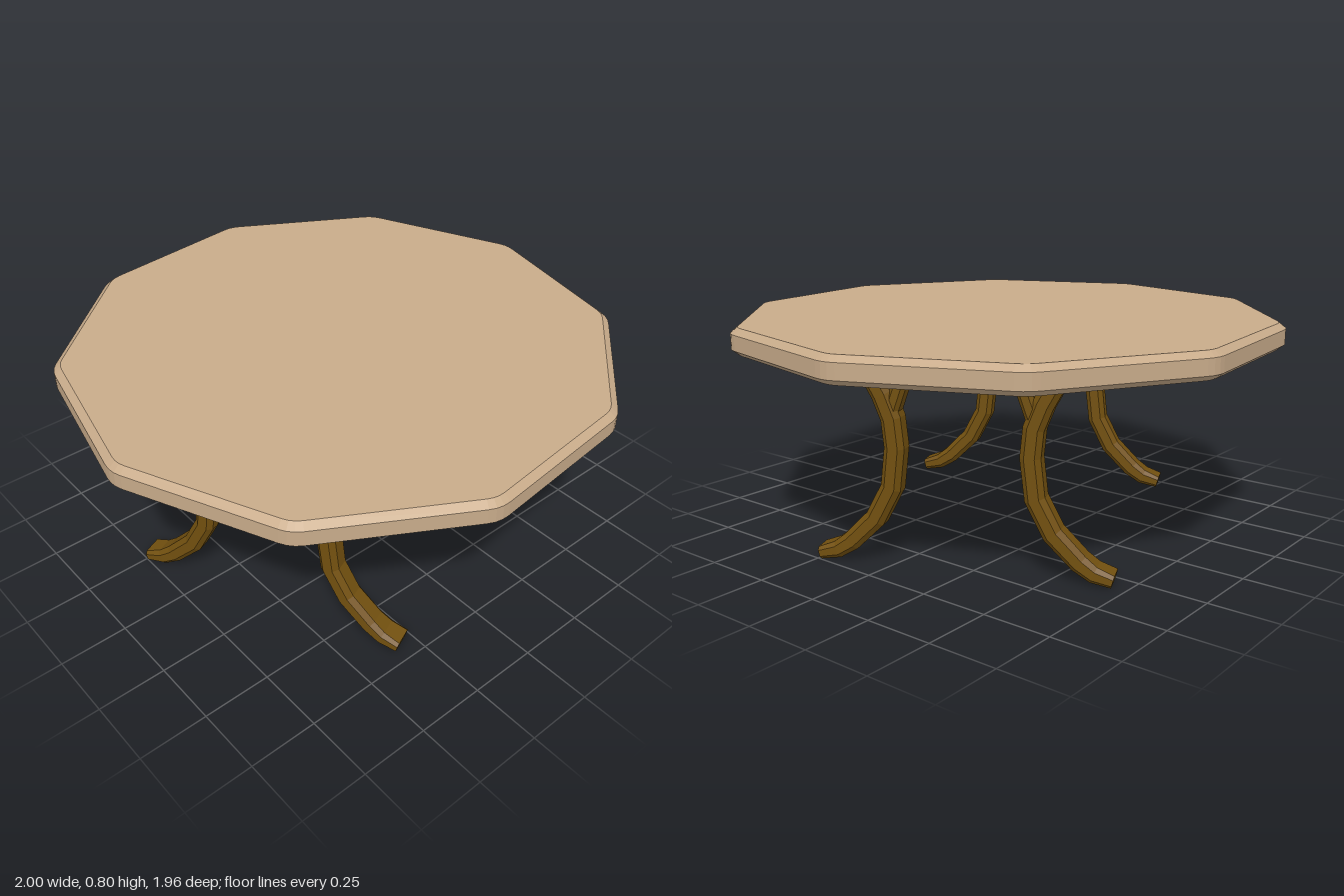
import * as THREE from 'three';

const wood = new THREE.MeshStandardMaterial({ color: 0xc8ab8a, flatShading: true });
const plateWood = new THREE.MeshStandardMaterial({ color: 0x8c7966, flatShading: true });
const legWood = new THREE.MeshStandardMaterial({ color: 0x72500f, flatShading: true });

function part(name, geometry, material) {
  const mesh = new THREE.Mesh(geometry, material);
  mesh.name = name;
  return mesh;
}

// Sweeps a chamfered bar along [x, y, halfThickness, halfWidth] stations
function sweptBar(stations) {
  const pos = [], index = [], n = 8;
  stations.forEach(([x, y, h, w], i) => {
    const p = stations[Math.max(i - 1, 0)], q = stations[Math.min(i + 1, stations.length - 1)];
    const t = new THREE.Vector2(q[0] - p[0], q[1] - p[1]).normalize();
    const c = Math.min(h, w) * 0.5;
    const ring = [[h, -w + c], [h, w - c], [h - c, w], [c - h, w], [-h, w - c], [-h, c - w], [c - h, -w], [h - c, -w]];
    for (const [a, b] of ring) pos.push(x - t.y * a, y + t.x * a, b);
  });
  const last = (stations.length - 1) * n;
  for (let i = 0; i < last; i += n) {
    for (let j = 0; j < n; j++) {
      const k = (j + 1) % n;
      index.push(i + j, i + k, i + n + k, i + j, i + n + k, i + n + j);
    }
  }
  for (let j = 1; j < n - 1; j++) index.push(0, j + 1, j, last, last + j, last + j + 1);
  const g = new THREE.BufferGeometry();
  g.setAttribute('position', new THREE.Float32BufferAttribute(pos, 3));
  g.setIndex(index);
  g.computeVertexNormals();
  return g;
}

// Ten-sided top with softened corners and chamfered rims
function tableTop() {
  const sides = 10, cut = 0.04;
  const corners = Array.from({ length: sides }, (_, i) => {
    const a = THREE.MathUtils.degToRad(5.5 + i * 36);
    return new THREE.Vector2(Math.cos(a), Math.sin(a)).multiplyScalar(1.01);
  });
  const shape = new THREE.Shape();
  corners.forEach((v, i) => {
    const toward = (o) => o.clone().sub(v).setLength(cut).add(v);
    const a = toward(corners[(i + sides - 1) % sides]), b = toward(corners[(i + 1) % sides]);
    if (i === 0) shape.moveTo(a.x, a.y); else shape.lineTo(a.x, a.y);
    shape.quadraticCurveTo(v.x, v.y, b.x, b.y);
  });
  shape.closePath();
  const g = new THREE.ExtrudeGeometry(shape, {
    depth: 0.055, curveSegments: 3, bevelEnabled: true, bevelSegments: 1,
    bevelThickness: 0.02, bevelSize: 0.025, bevelOffset: -0.025,
  });
  g.rotateX(-Math.PI / 2);
  g.translate(0, 0.73, 0);
  return g;
}

// Curved leg with its small fork, splaying along +x
function createLeg() {
  const leg = new THREE.Group();
  leg.name = 'leg';
  leg.add(part('legTrunk', sweptBar([
    [0.335, 0.71, 0.036, 0.043], [0.275, 0.6, 0.036, 0.043], [0.244, 0.52, 0.036, 0.043],
    [0.234, 0.42, 0.036, 0.043], [0.25, 0.28, 0.036, 0.043], [0.31, 0.165, 0.036, 0.043],
    [0.4, 0.075, 0.034, 0.044], [0.45, 0.042, 0.03, 0.046], [0.515, 0.025, 0.022, 0.046],
  ]), legWood));
  leg.add(part('legFork', sweptBar([
    [0.192, 0.71, 0.026, 0.036], [0.215, 0.63, 0.026, 0.036], [0.25, 0.53, 0.026, 0.036],
  ]), legWood));
  return leg;
}

// Mounting plate with a pair of opposed legs
function createLegPair(turn) {
  const pair = new THREE.Group();
  pair.name = 'legPair';
  const g = new THREE.BoxGeometry(0.91, 0.014, 0.2);
  const p = g.attributes.position;
  for (let i = 0; i < p.count; i++) {
    if (p.getY(i) < 0) p.setXYZ(i, p.getX(i) * 0.965, p.getY(i), p.getZ(i) * 0.85);
  }
  g.computeVertexNormals();
  g.translate(0, 0.706, 0);
  pair.add(part('mountingPlate', g, plateWood));
  for (const angle of [0, Math.PI]) {
    const leg = createLeg();
    leg.rotation.y = angle;
    pair.add(leg);
  }
  const s = turn ? -1 : 1;
  pair.position.set(-0.51 * s, 0, 0.217 * s);
  pair.rotation.y = THREE.MathUtils.degToRad(-66.7) + (turn ? Math.PI : 0);
  return pair;
}

export function createModel() {
  const table = new THREE.Group();
  table.name = 'table';
  table.add(part('tableTop', tableTop(), wood));
  table.add(createLegPair(false), createLegPair(true));
  return table;
}
